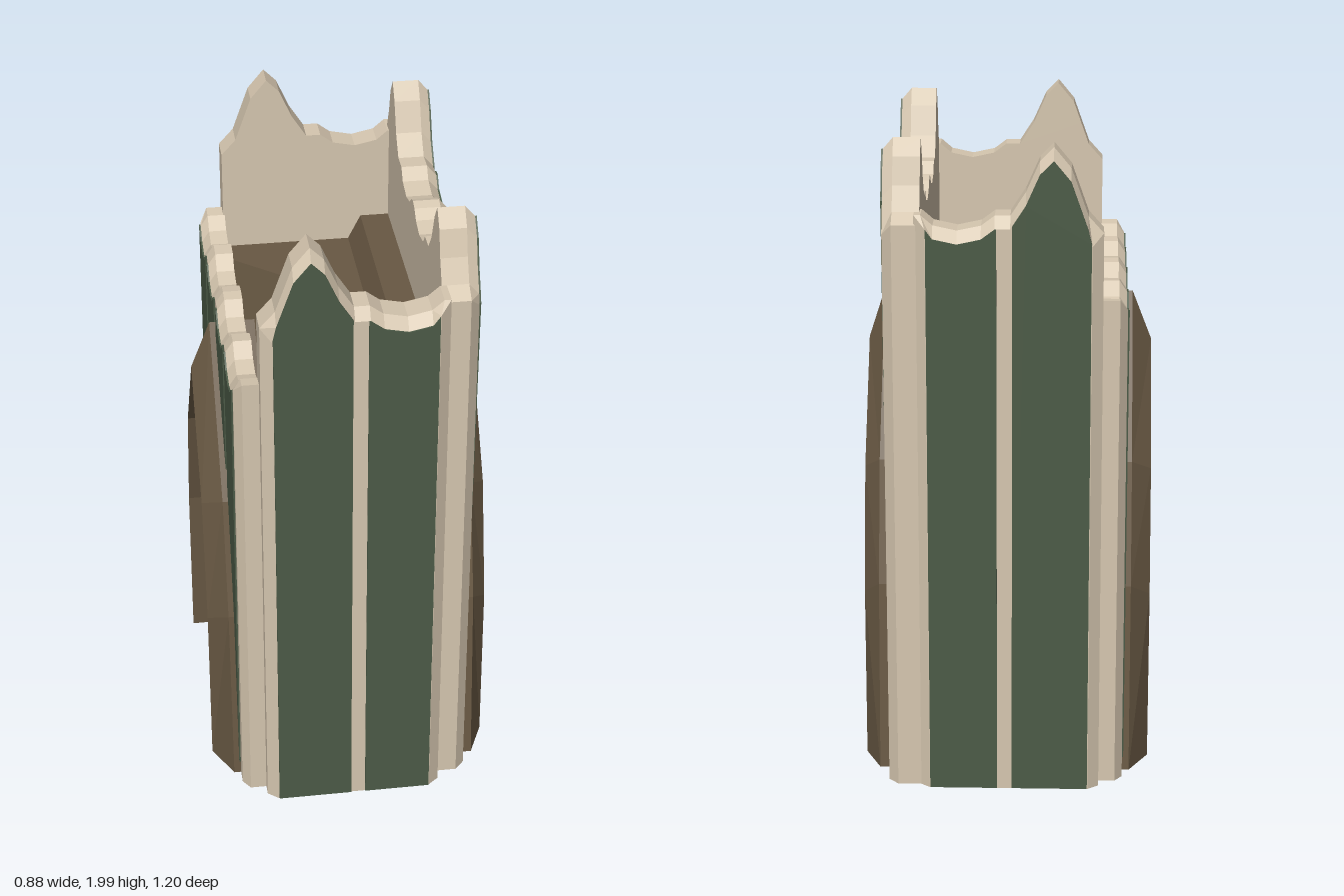
import * as THREE from 'three';

const mat = (name, color) => {
  const m = new THREE.MeshStandardMaterial({ color, flatShading: true, side: THREE.DoubleSide });
  m.name = name;
  return m;
};
const V = (x, y, z) => new THREE.Vector3(x, y, z);

// Closed solid through matching rings of points, with capped ends
function loft(rings) {
  const n = rings[0].length, pos = rings.flat().flatMap(p => [p.x, p.y, p.z]), idx = [];
  for (let r = 0; r < rings.length - 1; r++) for (let i = 0; i < n; i++) {
    const a = r * n + i, b = r * n + (i + 1) % n;
    idx.push(a, b, b + n, a, b + n, a + n);
  }
  [0, rings.length - 1].forEach(r => {
    const size = new THREE.Box3().setFromPoints(rings[r]).getSize(V(0, 0, 0));
    const axes = ['x', 'y', 'z'].sort((a, b) => size[b] - size[a]).slice(0, 2).sort();
    const flat = rings[r].map(p => new THREE.Vector2(p[axes[0]], p[axes[1]]));
    const cw = THREE.ShapeUtils.isClockWise(flat);
    const e0 = rings[r][0], N = V(0, 0, 0);
    rings[r].forEach((p, i) => N.add(p.clone().sub(e0).cross(rings[r][(i + 1) % n].clone().sub(e0))));
    const order = flat.map((_, i) => i);
    if (cw) { flat.reverse(); order.reverse(); }
    THREE.ShapeUtils.triangulateShape(flat, []).forEach(t => {
      const [a, b, c] = t.map(i => order[i]);
      const P = rings[r], tn = P[b].clone().sub(P[a]).cross(P[c].clone().sub(P[a]));
      const same = tn.dot(N) > 0, want = r !== 0;
      idx.push(...(same === want ? [a, b, c] : [a, c, b]).map(i => i + r * n));
    });
  });
  // face outward whatever the ring direction
  let vol = 0;
  const P = rings.flat();
  for (let i = 0; i < idx.length; i += 3) vol += P[idx[i]].dot(P[idx[i + 1]].clone().cross(P[idx[i + 2]]));
  if (vol < 0) idx.reverse();
  const g = new THREE.BufferGeometry();
  g.setAttribute('position', new THREE.Float32BufferAttribute(pos, 3));
  g.setIndex(idx);
  const out = g.toNonIndexed();
  out.computeVertexNormals();
  return out;
}

const lerpAt = (pts, u) => {
  if (u <= pts[0][0]) return pts[0][1];
  for (let i = 1; i < pts.length; i++) if (u <= pts[i][0]) {
    const [a, b] = [pts[i - 1], pts[i]];
    return a[1] + (b[1] - a[1]) * (u - a[0]) / (b[0] - a[0] || 1);
  }
  return pts[pts.length - 1][1];
};
const mirrored = half => [...half.slice(1).reverse().map(([u, y]) => [-u, y]), ...half];

// Pointed arch contours, half of each from apex to ground
const INNER = [[0, 1.28], [0.24, 0.93], [0.33, 0.55], [0.34, 0.01]];
const OUTER = [[0, 1.435], [0.3, 0.97], [0.4, 0.6], [0.455, 0.01]];
const MIDDLE = [[0, 1.36], [0.27, 0.95], [0.365, 0.58], [0.4, 0.01]];

export function createModel() {
  const root = new THREE.Group();
  root.name = 'gatehouse';
  const cream = mat('pale stone', 0xd6c7b0), green = mat('green panel', 0x4c5b47);
  const brown = mat('brown timber', 0x685843), brick = mat('grey brick', 0x696b73);
  const mortar = mat('dark mortar', 0x4b4d53), iron = mat('iron', 0x6c727e);
  const add = (parent, name, geo, m) => {
    const mesh = new THREE.Mesh(geo, m);
    mesh.name = name;
    parent.add(mesh);
    return mesh;
  };
  const box = (parent, name, m, [x0, x1], [y0, y1], [z0, z1]) => {
    const mesh = add(parent, name, new THREE.BoxGeometry(x1 - x0, y1 - y0, z1 - z0), m);
    mesh.position.set((x0 + x1) / 2, (y0 + y1) / 2, (z0 + z1) / 2);
    return mesh;
  };

  // Walls: bevelled slab with a wavy top and green panels on the outer face
  function wall(name, top, [d0, d1, d2], panels, arch, angle) {
    const g = new THREE.Group();
    g.name = name;
    g.rotation.y = angle;
    root.add(g);
    const L = top[0][0], R = top[top.length - 1][0], inset = 0.033;
    const innerTop = top.map(([u, y]) => [THREE.MathUtils.clamp(u, L + inset, R - inset), y - 0.035]);
    const opening = arch ? mirrored(MIDDLE).reverse() : [];
    const ring = (t, d) => [...t, [t[t.length - 1][0], 0.01], ...opening, [t[0][0], 0.01]].map(([u, y]) => V(u, y, d));
    add(g, name + 'Slab', loft([ring(top, d0), ring(top, d1), ring(innerTop, d2)]), cream);
    panels.forEach(([a, b]) => {
      const between = pts => pts.map(p => p[0]).filter(u => u > a + 0.002 && u < b - 0.002);
      const up = [a, ...between(innerTop), b].map(u => [u, lerpAt(innerTop, u)]);
      const lim = arch ? 0.45 : 9;
      const lo = Math.max(a, -lim), hi = Math.min(b, lim);
      const down = [lo, ...(arch ? between(mirrored(MIDDLE)) : []), hi]
        .map(u => [u, arch ? lerpAt(MIDDLE, Math.abs(u)) : 0.012]);
      const shape = new THREE.Shape([...down, ...up.reverse()].map(p => new THREE.Vector2(...p)));
      const plate = add(g, name + 'Panel', new THREE.ExtrudeGeometry(shape, { depth: 0.006, bevelEnabled: false }), green);
      plate.position.z = d2 - 0.001;
    });
  }
  const endTop = [[-0.295, 1.75], [-0.25, 1.8], [-0.225, 1.87], [-0.2, 1.94], [-0.15, 2], [-0.11, 1.96], [-0.07, 1.87],
    [-0.025, 1.8], [0.02, 1.8], [0.06, 1.77], [0.13, 1.755], [0.2, 1.77], [0.235, 1.8], [0.255, 1.8]];
  const endPanels = [[-0.26, -0.03], [0.015, 0.22]];
  const flip = list => list.map(([a, b]) => [-b, -a]).reverse();
  wall('frontWall', endTop, [0.49, 0.57, 0.597], endPanels, false, 0);
  wall('backWall', endTop.map(([u, y]) => [-u, y]).reverse(), [0.49, 0.57, 0.597], flip(endPanels), false, Math.PI);

  const tallTop = mirrored([[0, 1.8], [0.03, 1.79], [0.06, 1.765], [0.12, 1.75], [0.19, 1.765], [0.22, 1.8], [0.28, 1.8],
    [0.33, 1.86], [0.37, 1.95], [0.41, 2], [0.45, 1.95], [0.475, 1.87], [0.51, 1.8], [0.555, 1.77]]).map(([u, y]) => [u + 0.02, y]);
  wall('tallSideWall', tallTop, [0.24, 0.32, 0.35], [[-0.5, -0.27], [-0.215, -0.005], [0.045, 0.265], [0.3, 0.5]], true, Math.PI / 2);
  const lowTop = mirrored([[0, 1.54], [0.04, 1.535], [0.08, 1.495], [0.14, 1.48], [0.2, 1.495], [0.24, 1.535], [0.29, 1.54],
    [0.33, 1.5], [0.39, 1.485], [0.45, 1.5], [0.49, 1.535], [0.535, 1.54]]);
  wall('lowSideWall', lowTop, [0.29, 0.345, 0.368], [[-0.495, -0.285], [-0.245, -0.025], [0.025, 0.245], [0.285, 0.495]], true, -Math.PI / 2);

  // Arch frames with a sloping face
  const inner = mirrored(INNER), outer = mirrored(OUTER);
  const frame = (name, xb, xo, xi) => add(root, name, loft(inner.map(([z, y], i) => {
    const [oz, oy] = outer[i];
    return [V(xb, oy, oz), V(xo, oy, oz), V(xi, y, z), V(xb, y, z)];
  })), brown);
  frame('tallSideArch', 0.22, 0.385, 0.435);
  frame('lowSideArch', -0.25, -0.39, -0.45);

  // Brick lining of the passage
  const X0 = -0.11, X1 = 0.225;
  add(root, 'liningMortar', loft(inner.map(([z, y], i) => {
    const s = Math.sign(z) * 0.012, up = z === 0 ? 0.02 : 0.008;
    return [V(X0, y + up, z + s), V(X1, y + up, z + s), V(X1, outer[i][1], outer[i][0]), V(X0, outer[i][1], outer[i][0])];
  })), mortar);
  const bricks = new THREE.Group();
  bricks.name = 'liningBricks';
  root.add(bricks);
  for (const side of [1, -1]) {
    let course = 0;
    [[3, 2, 3], [2, 1, 2], [2, 0, 1]].forEach(([count, to, from]) => {
      const a = V(0, INNER[from][1], side * INNER[from][0]), b = V(0, INNER[to][1], side * INNER[to][0]);
      const len = a.distanceTo(b), dir = b.clone().sub(a).normalize();
      const normal = V(1, 0, 0).cross(dir).multiplyScalar(side);
      for (let k = 0; k < count; k++, course++) {
        const mid = a.clone().lerp(b, (k + 0.5) / count), split = course % 2 ? 0.02 : 0.12;
        [[X0, split], [split, X1]].forEach(([x0, x1]) => {
          const m = add(bricks, 'brick', new THREE.BoxGeometry(x1 - x0 - 0.01, len / count - 0.014, 0.016), brick);
          m.position.copy(mid).addScaledVector(normal, Math.sign(normal.z) === side ? 0.01 : -0.01).setX((x0 + x1) / 2);
          m.rotation.x = Math.atan2(dir.z, dir.y);
        });
      }
    });
  }

  // Roof deck with a raised ledge and a notch for the gate
  const deck = new THREE.Shape([[-0.29, -0.49], [0.11, -0.49], [0.11, 0.49], [-0.29, 0.49], [-0.29, 0.41], [-0.11, 0.26],
    [-0.11, -0.26], [-0.29, -0.41]].map(p => new THREE.Vector2(...p)));
  const deckGeo = new THREE.ShapeGeometry(deck).rotateX(-Math.PI / 2);
  add(root, 'roofDeck', deckGeo, brown).position.y = 1.42;
  add(root, 'roofLedge', loft([-0.49, 0.49].map(z => [V(0.11, 1.41, z), V(0.24, 1.41, z), V(0.24, 1.5, z), V(0.15, 1.5, z), V(0.11, 1.42, z)])), brown);

  // Gate slot: tapering cheeks and the wall above the lining
  for (const s of [1, -1]) {
    const g = new THREE.PlaneGeometry(1, 1, 1, 2), p = g.attributes.position;
    [[-0.29, 1.42, 0.41], [-0.11, 1.42, 0.26], [-0.25, 1, 0.31], [-0.11, 1, 0.31], [-0.25, 0.01, 0.345], [-0.11, 0.01, 0.345]]
      .forEach(([x, y, z], i) => p.setXYZ(i, x, y, s * z));
    g.computeVertexNormals();
    add(root, 'slotCheek', g, brown);
    box(root, 'wallFooting', cream, [-0.29, 0.24], [0.01, 0.03], s > 0 ? [0.35, 0.49] : [-0.49, -0.35]);
  }
  const over = new THREE.Shape([...inner, [0.345, 1.42], [-0.345, 1.42]].map(p => new THREE.Vector2(...p)));
  add(root, 'slotWall', new THREE.ShapeGeometry(over).rotateY(-Math.PI / 2), brown).position.x = X0 - 0.002;

  // Portcullis
  const gate = new THREE.Group();
  gate.name = 'portcullis';
  root.add(gate);
  const GX = -0.195;
  const bar = (z0, y0, z1, y1) => {
    const len = Math.hypot(z1 - z0, y1 - y0);
    const m = add(gate, 'gateUpright', new THREE.BoxGeometry(0.05, len + 0.015, 0.045), iron);
    m.position.set(GX, (y0 + y1) / 2, (z0 + z1) / 2);
    m.rotation.x = Math.atan2(z1 - z0, y1 - y0);
  };
  for (const s of [1, -1]) {
    bar(s * 0.27, 0.09, s * 0.265, 0.75);
    bar(s * 0.265, 0.75, s * 0.205, 0.97);
    bar(s * 0.205, 0.97, 0, 1.27);
  }
  bar(0, 0.11, 0, 1.25);
  [-0.27, 0, 0.27].forEach(z => {
    const tip = add(gate, 'gateSpike', new THREE.ConeGeometry(0.033, 0.06, 4).rotateY(Math.PI / 4).rotateX(Math.PI), iron);
    tip.position.set(GX, z ? 0.06 : 0.08, z);
  });
  [0.15, 0.37, 0.585, 0.81, 1.02].forEach((y, i) => {
    const w = i === 4 ? 0.21 : 0.275;
    box(gate, 'gateCrossbar', iron, [-0.185, -0.15], [y - 0.027, y + 0.027], [-w, w]);
    if (i === 0) return;
    // hanging green point below the crossbar
    const rings = [[0, 0.16, 0.015], [0.06, 0.075, 0.025], [0.17, 0.004, 0.004]].map(([d, hw, dx]) =>
      [V(-0.165 + dx, y - 0.027 - d, 0), V(-0.165, y - 0.027 - d, hw), V(-0.165 - dx, y - 0.027 - d, 0), V(-0.165, y - 0.027 - d, -hw)]);
    add(gate, 'hangingPoint', loft(rings), green);
  });

  return root;
}
